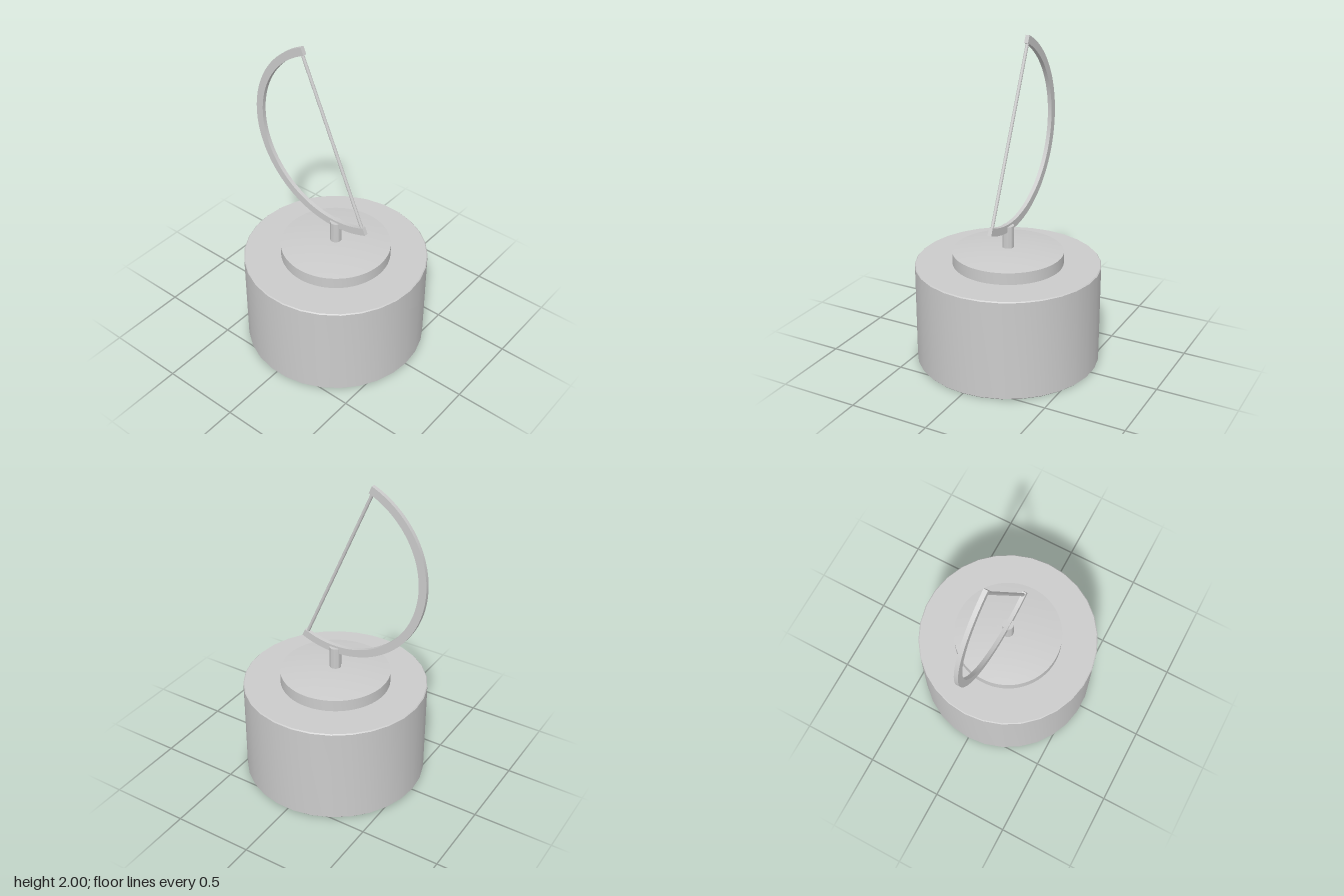
import * as THREE from 'three';
import { toCreasedNormals } from 'three/addons/utils/BufferGeometryUtils.js';

export function createModel() {
  const group = new THREE.Group();
  const material = new THREE.MeshStandardMaterial({ color: 0xcccccc });
  const axisX = 0.015;

  const add = (name, geometry, x = 0, y = 0, z = 0) => {
    const mesh = new THREE.Mesh(toCreasedNormals(geometry, 0.5), material);
    mesh.name = name;
    mesh.position.set(x, y, z);
    group.add(mesh);
    return mesh;
  };
  const lathe = (points, segments, start = 0) =>
    new THREE.LatheGeometry(points.map(([r, y]) => new THREE.Vector2(r, y)), segments, start);

  // Drum base with a fine bevel on both rims
  const R = 0.576, H = 0.635, b = 0.006;
  add('base', lathe([[0, 0], [R - b, 0], [R, b], [R, H - b], [R - b, H], [0, H]], 30, Math.PI / 30), axisX);

  // Stepped disc with a shallow domed top
  const discR = 0.344, edgeY = 0.71, rise = 0.025;
  const disc = [[0, H - 0.01], [discR, H - 0.01], [discR, edgeY]];
  for (let i = 7; i >= 0; i--) {
    const t = i / 8;
    disc.push([discR * t, edgeY + rise * (1 - t * t)]);
  }
  add('domedDisc', lathe(disc, 64), axisX);

  // Short post holding the bow
  add('post', new THREE.CylinderGeometry(0.036, 0.036, 0.165, 32), axisX, 0.7925);

  // Half-ring bow, tilted, with square section
  const cx = 0.01, cy = 1.445, outer = 0.605, inner = 0.556, depth = 0.026;
  const a0 = THREE.MathUtils.degToRad(113.4), a1 = a0 + Math.PI;
  const bow = new THREE.Shape();
  bow.absarc(0, 0, outer, a0, a1, false);
  bow.absarc(0, 0, inner, a1, a0, true);
  bow.closePath();
  add('bow', new THREE.ExtrudeGeometry(bow, { depth, bevelEnabled: false, curveSegments: 48 }), cx, cy, -depth / 2);

  // Straight rod across the ends of the bow
  const inset = 0.018;
  const rod = add('rod', new THREE.CylinderGeometry(0.01, 0.01, 2 * inner + 0.01, 16),
    cx + inset * Math.cos(a0 + Math.PI / 2), cy + inset * Math.sin(a0 + Math.PI / 2));
  rod.rotation.z = a0 - Math.PI / 2;

  return group;
}
